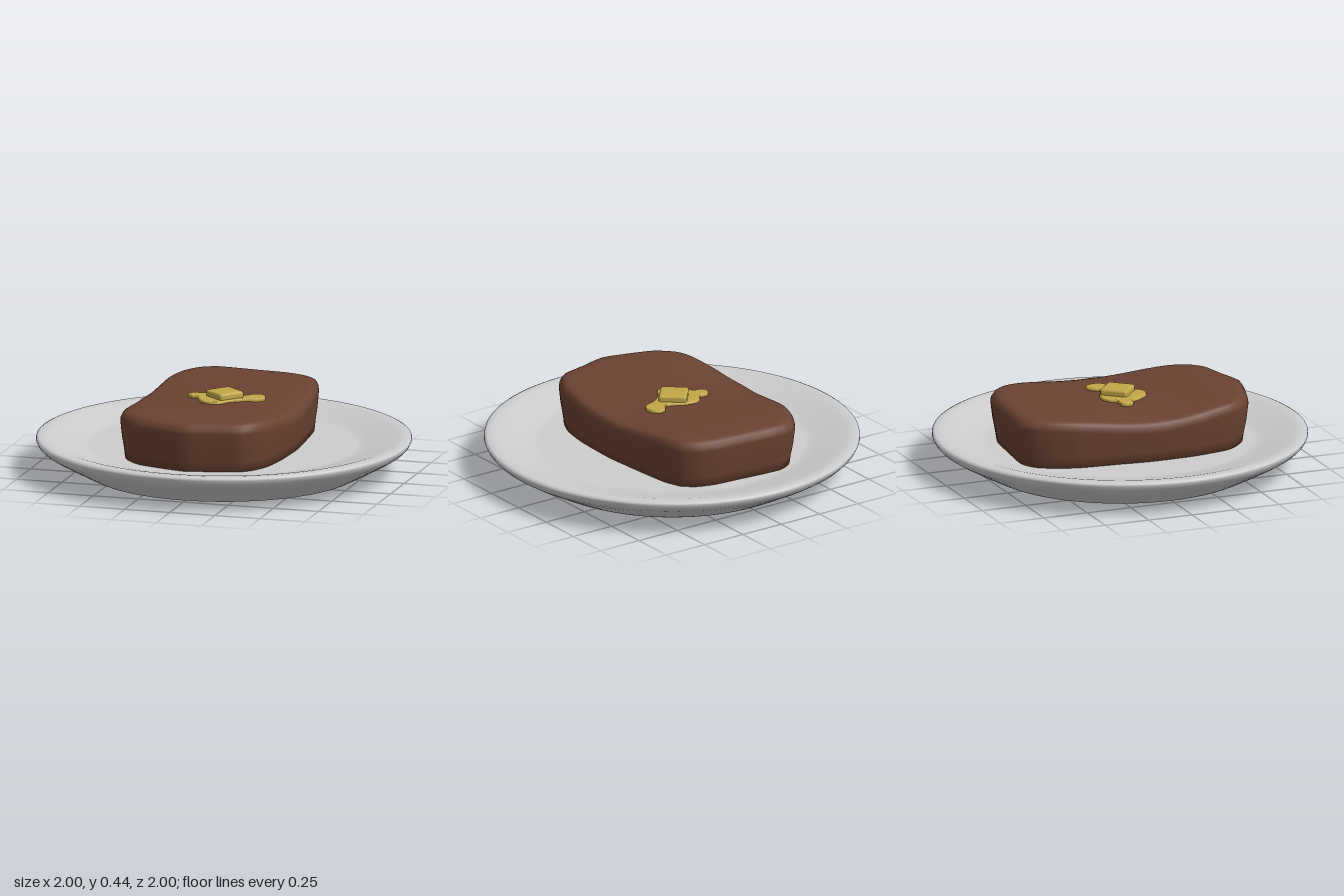
import * as THREE from 'three';
import { RoundedBoxGeometry } from 'three/addons/geometries/RoundedBoxGeometry.js';

const mat = (name, color) => {
  const m = new THREE.MeshStandardMaterial({ color });
  m.name = name;
  return m;
};
const named = (name, geometry, material) => {
  const mesh = new THREE.Mesh(geometry, material);
  mesh.name = name;
  return mesh;
};

// Irregular outline of the steak, as x, z pairs
const STEAK = [
  [-0.24, -0.7], [-0.34, -0.65], [-0.4, -0.55], [-0.44, -0.42], [-0.46, -0.2], [-0.48, 0],
  [-0.475, 0.25], [-0.44, 0.45], [-0.4, 0.53], [-0.31, 0.61], [-0.18, 0.655], [-0.02, 0.695],
  [0.12, 0.66], [0.27, 0.625], [0.34, 0.56], [0.39, 0.45], [0.42, 0.27], [0.43, 0],
  [0.41, -0.27], [0.39, -0.45], [0.35, -0.57], [0.28, -0.63], [0.17, -0.665], [0, -0.68],
];

// Top surface: ends raised, middle sagging towards both long edges
function topHeight(x, z) {
  const end = THREE.MathUtils.smoothstep(Math.abs(z), 0.05, 0.55);
  return 0.39 + 0.02 * end - 0.02 * (1 - end) * (x / 0.43) ** 2;
}

function steakGeometry() {
  const curve = new THREE.CatmullRomCurve3(
    STEAK.map(([x, z]) => new THREE.Vector3(x, 0, z)), true, 'catmullrom', 0.3);
  const n = STEAK.length * 3;
  const outline = curve.getPoints(n).slice(0, n);
  // Each ring: scale, height, and whether height is measured from the top surface
  const rings = [
    [0, 0.13, false], [0.95, 0.13, false], [0.965, 0.2, false], [0.985, 0.27, false],
    [1, -0.055, true], [0.995, -0.035, true], [0.975, -0.014, true], [0.945, -0.003, true],
    [0.88, 0, true], [0.7, 0, true], [0.5, 0, true], [0.25, 0, true], [0, 0, true],
  ];
  const pos = [], index = [];
  rings.forEach(([s, h, fromTop], r) => {
    outline.forEach((p, i) => {
      const x = p.x * s, z = p.z * s;
      pos.push(x, fromTop ? topHeight(x, z) + h : h, z);
      if (r === 0) return;
      const j = (i + 1) % n, a = (r - 1) * n, b = r * n;
      if (r > 1) index.push(a + i, a + j, b + j);
      if (r === 1) index.push(a + i, b + j, b + i);
      else if (r < rings.length - 1) index.push(a + i, b + j, b + i);
    });
  });
  const g = new THREE.BufferGeometry();
  g.setAttribute('position', new THREE.Float32BufferAttribute(pos, 3));
  g.setIndex(index);
  g.computeVertexNormals();
  return g;
}

export function createModel() {
  const model = new THREE.Group();
  const plateMat = mat('plateGrey', 0xcdcdcd);
  const steakMat = mat('steakBrown', 0x6a4232);
  const butterMat = mat('butterYellow', 0xc2a848);

  // Plate: flat base, flared outside, rounded rim, shallow well
  const profile = [
    [0, 0], [0.7, 0], [0.725, 0.003], [0.75, 0.015], [0.85, 0.068], [0.93, 0.112], [0.97, 0.137],
    [0.99, 0.157], [1, 0.178], [0.998, 0.19], [0.985, 0.196], [0.96, 0.197], [0.93, 0.194],
    [0.86, 0.177], [0.78, 0.157], [0.735, 0.148], [0.71, 0.146], [0, 0.146],
  ].map(([r, y]) => new THREE.Vector2(r, y));
  model.add(named('plate', new THREE.LatheGeometry(profile, 96), plateMat));

  model.add(named('steak', steakGeometry(), steakMat));

  // Melted butter: a rounded irregular puddle lying on the steak
  const puddle = [
    [-0.2, -0.03], [-0.18, -0.063], [-0.13, -0.06], [-0.1, -0.1], [-0.06, -0.12], [0, -0.11],
    [0.09, -0.065], [0.13, -0.11], [0.17, -0.12], [0.195, -0.09], [0.195, -0.045], [0.17, -0.02],
    [0.11, 0], [0.04, 0.055], [0.01, 0.11], [-0.03, 0.127], [-0.08, 0.105], [-0.12, 0.05],
    [-0.14, 0.005], [-0.18, -0.005],
  ].map(([x, z]) => new THREE.Vector2(x, -z)).reverse();
  const shape = new THREE.Shape();
  shape.setFromPoints(new THREE.SplineCurve([...puddle, puddle[0]]).getPoints(60));
  const meltGeo = new THREE.ExtrudeGeometry(shape, {
    depth: 0.01, bevelSize: 0.008, bevelThickness: 0.01, bevelSegments: 3,
  });
  const melt = named('meltedButter', meltGeo, butterMat);
  melt.rotation.x = -Math.PI / 2;
  melt.position.y = 0.385;
  model.add(melt);

  // Pat of butter, turned on the puddle
  const pat = named('butterPat', new RoundedBoxGeometry(0.15, 0.05, 0.15, 3, 0.014), butterMat);
  pat.position.set(0, 0.413, -0.015);
  pat.rotation.y = 0.87;
  model.add(pat);

  return model;
}
